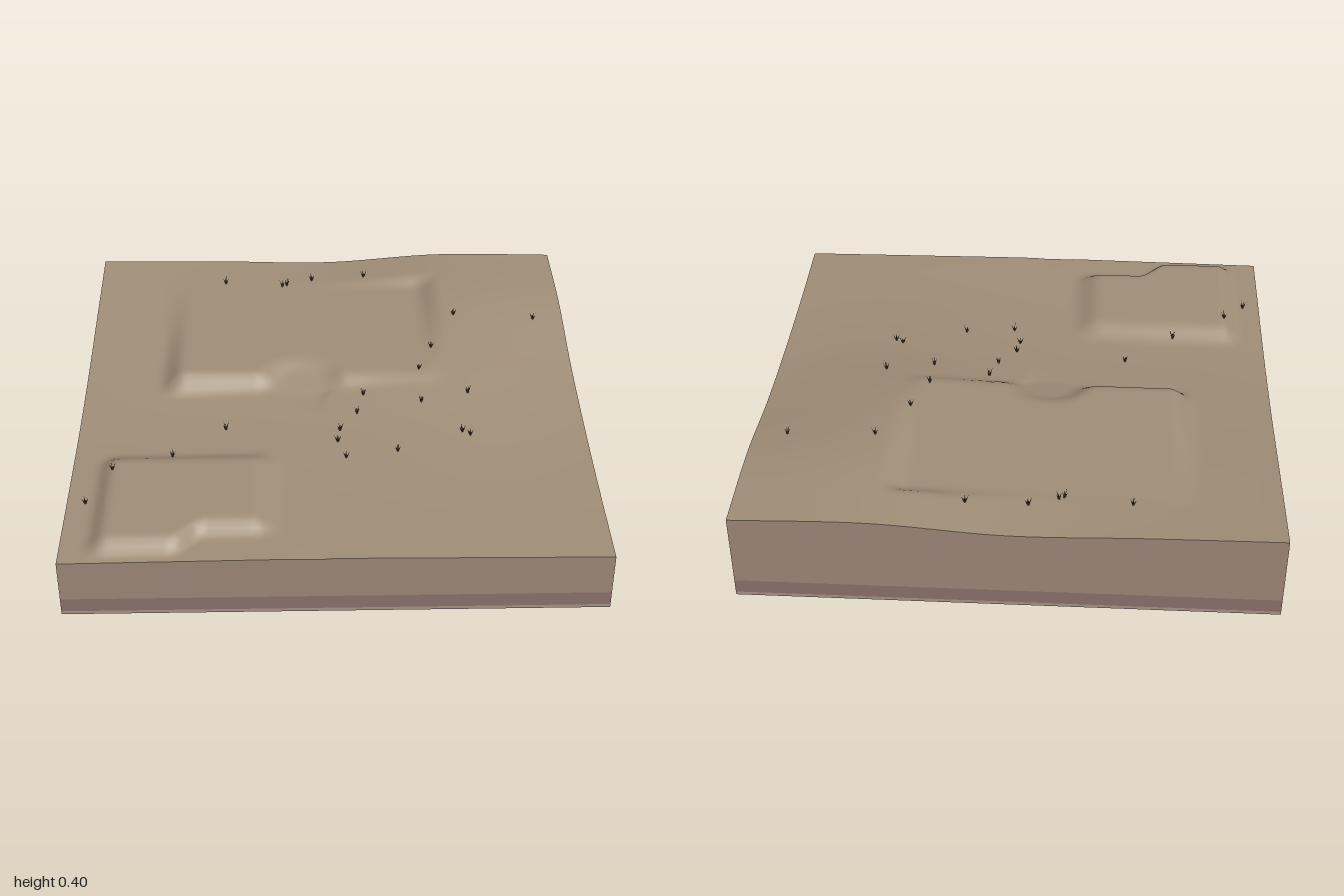
import * as THREE from 'three';
import { mergeGeometries } from 'three/addons/utils/BufferGeometryUtils.js';

const N = 100; // terrain cells per side
const { lerp, clamp, smoothstep } = THREE.MathUtils;

// Natural hillside: rows run from back (z = -1) to front, columns from x = -1 to 1
const HILL = [
  [0.35, 0.345, 0.335, 0.37, 0.362],
  [0.31, 0.325, 0.34, 0.371, 0.35],
  [0.268, 0.285, 0.31, 0.338, 0.29],
  [0.242, 0.25, 0.265, 0.278, 0.257],
  [0.236, 0.24, 0.246, 0.247, 0.24],
  [0.235, 0.24, 0.244, 0.24, 0.235],
];

// Catmull-Rom through evenly spaced values, t in 0..1
function spline(v, t) {
  const n = v.length - 1, f = clamp(t, 0, 1) * n, i = Math.min(Math.floor(f), n - 1), u = f - i;
  const b = v[i], c = v[i + 1];
  const a = i > 0 ? v[i - 1] : 2 * b - c, d = i + 2 <= n ? v[i + 2] : 2 * c - b;
  return b + 0.5 * u * (c - a + u * (2 * a - 5 * b + 4 * c - d + u * (3 * (b - c) + d - a)));
}

// 1 inside a range, easing to 0 over the given margins outside it
const within = (v, lo, hi, mLo, mHi) => smoothstep(v, lo - mLo, lo) * (1 - smoothstep(v, hi, hi + mHi));

function heightAt(x, z) {
  let h = spline(HILL.map((row) => spline(row, (x + 1) / 2)), (z + 1) / 2);
  // upper terrace with a steep front bank
  h = lerp(h, 0.335, within(x, -0.6, 0.38, 0.1, 0.1) * within(z, -0.75, -0.1, 0.07, 0.09));
  // lower pad, its front edge stepped back on the right
  const front = lerp(0.9, 0.8, smoothstep(x, -0.6, -0.48));
  h = lerp(h, 0.285, within(x, -0.83, -0.31, 0.08, 0.12) * within(z, 0.46, front, 0.12, 0.08));
  // sunken path, and the rounded notch where it climbs the bank
  const ramp = z > 0 ? lerp(0.275, 0.241, z) : lerp(0.275, 0.335, clamp(-z / 0.25, 0, 1));
  const path = within(x, -0.15, -0.05, 0.04, 0.04) * smoothstep(z, -0.1, 0);
  const notch = 1 - smoothstep(Math.hypot((x + 0.12) * 0.9, z + 0.06), 0.07, 0.17);
  return lerp(h, Math.min(h, ramp), Math.max(path, z < 0 ? notch : 0));
}

function terrainGeometry() {
  const geo = new THREE.PlaneGeometry(2, 2, N, N).rotateX(-Math.PI / 2);
  const p = geo.attributes.position;
  for (let i = 0; i < p.count; i++) p.setY(i, heightAt(p.getX(i), p.getZ(i)));
  geo.computeVertexNormals();
  return geo;
}

// Four vertical walls between two height functions
function wallGeometry(low, high) {
  const sides = [];
  for (let s = 0; s < 4; s++) {
    const geo = new THREE.PlaneGeometry(2, 1, N, 1).translate(0, 0, 1).rotateY((s * Math.PI) / 2);
    const p = geo.attributes.position;
    for (let i = 0; i < p.count; i++) {
      p.setY(i, (p.getY(i) > 0 ? high : low)(p.getX(i), p.getZ(i)));
    }
    sides.push(geo);
  }
  return mergeGeometries(sides);
}

// A tuft of thin leaning blades
function tuftGeometry(seed) {
  const blades = [];
  for (let k = 0; k < 5; k++) {
    const len = 0.026 + 0.012 * Math.abs(Math.sin(seed * 3.7 + k * 2.1));
    blades.push(new THREE.ConeGeometry(0.0035, len, 3)
      .translate(0, len / 2 - 0.002, 0)
      .rotateZ(k === 0 ? 0.08 : 0.45)
      .rotateY(seed * 1.3 + (k * Math.PI) / 2));
  }
  return mergeGeometries(blades);
}

const TUFTS = [
  [-0.45, -0.81], [-0.2, -0.78], [-0.18, -0.79], [-0.07, -0.83], [0.16, -0.84],
  [0.53, -0.48], [0.87, -0.47], [-0.62, 0.38], [-0.42, 0.2], [-0.93, 0.65], [-0.84, 0.5],
  [0.42, -0.26], [0.36, -0.1], [0.1, 0.13], [0.13, 0.02], [0.03, 0.23], [0.02, 0.3],
  [0.05, 0.4], [0.25, 0.37], [0.36, 0.08], [0.55, 0.03], [0.51, 0.26], [0.54, 0.28],
];

export function createModel() {
  const model = new THREE.Group();
  model.name = 'terrainBlock';
  const add = (name, geo, color, parent = model) => {
    const mesh = new THREE.Mesh(geo, new THREE.MeshStandardMaterial({ color }));
    mesh.name = name;
    parent.add(mesh);
    return mesh;
  };

  // ground surface and the soil layers cut below it
  add('ground', terrainGeometry(), 0xa08e77);
  const level = (y) => () => y;
  add('soilLayer', wallGeometry(level(0.07), heightAt), 0xa0887a);
  add('clayLayer', wallGeometry(level(0.014), level(0.07)), 0x8c726d);
  add('stoneLayer', wallGeometry(level(0), level(0.014)), 0xa99588);
  add('underside', new THREE.PlaneGeometry(2, 2).rotateX(Math.PI / 2), 0x5a534a);

  // scattered grass
  const grass = new THREE.Group();
  grass.name = 'grass';
  model.add(grass);
  TUFTS.forEach(([x, z], i) => {
    add('grassTuft', tuftGeometry(i + 1), 0x4a4433, grass).position.set(x, heightAt(x, z), z);
  });
  return model;
}
